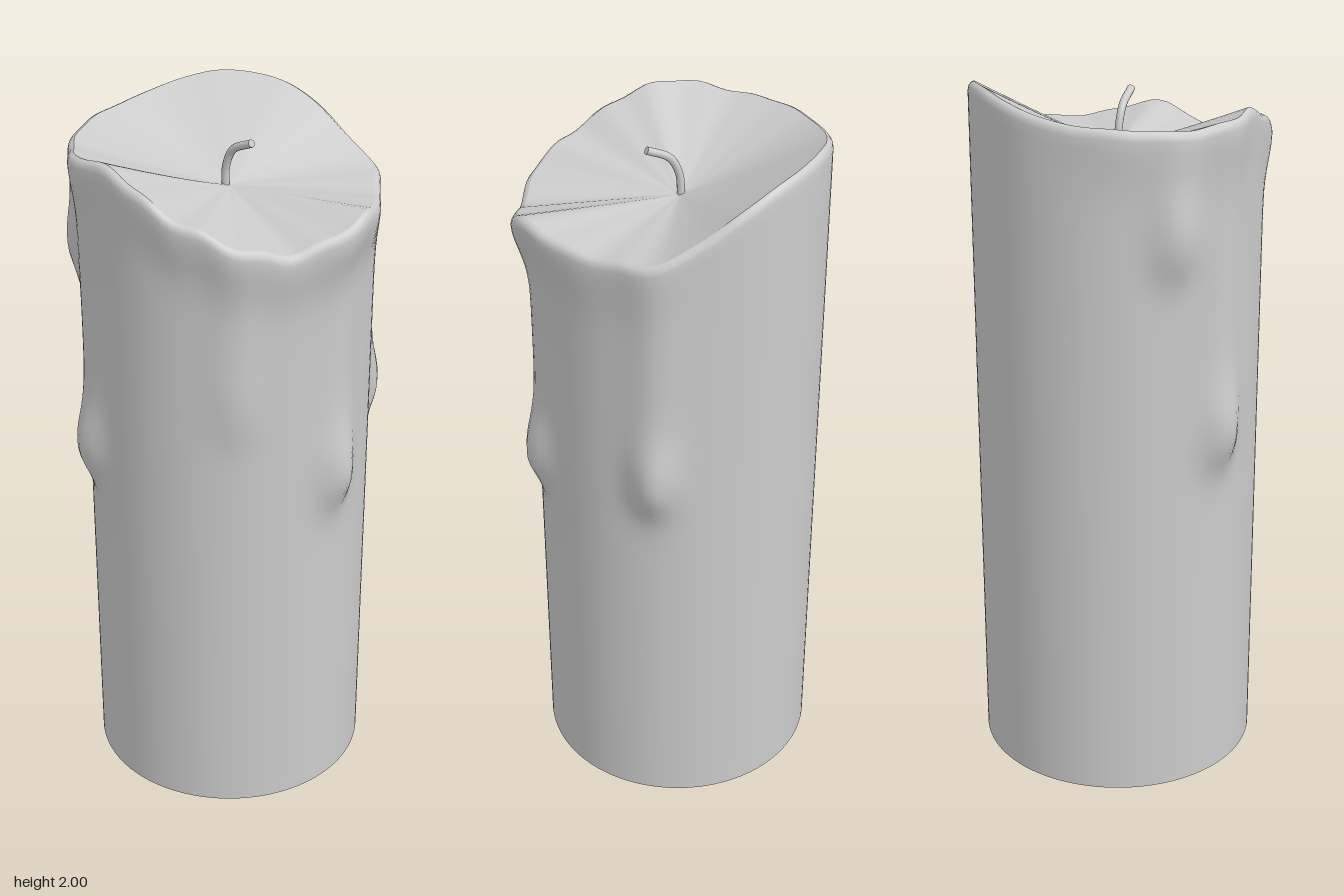
import * as THREE from 'three';

const SEG = 120, R = 0.402, CZ = -0.025, RAD = Math.PI / 180;
const mat = new THREE.MeshStandardMaterial({ color: 0xcccccc });

// Rim height every 15 degrees, starting at the front and turning towards +x
const RIM = [1.83, 1.82, 1.80, 1.805, 1.82, 1.87, 1.93, 1.975, 1.995, 2.0, 1.985, 1.965,
  1.95, 1.945, 1.94, 1.935, 1.945, 1.955, 1.93, 1.88, 1.84, 1.80, 1.77, 1.785];

// Wax drips: angle, height of the bead, bead size, thickness of the run above it
const DRIPS = [
  { a: -3, y: 1.06, bead: 0.052, run: 0.016 },
  { a: 58, y: 1.13, bead: 0.05, run: 0.02 },
  { a: -118, y: 1.07, bead: 0.048, run: 0.022 },
  { a: -139, y: 1.63, bead: 0.036, run: 0.016 },
  { a: -47, y: 1.3, bead: 0.006, run: 0.014 },
];

// Swollen places along the lip: angle, size, spread in degrees
const LIPS = [[2, 0.045, 17], [-38, 0.024, 16], [-68, 0.018, 14], [-118, 0.02, 14], [-158, 0.014, 12], [58, 0.012, 14]];

const gauss = (d, s) => Math.exp(-(d * d) / (2 * s * s));
const angDiff = (a, b) => ((a - b + 540) % 360 + 360) % 360 - 180;

function rimHeight(a) {
  const f = a / 15, i = Math.floor(f), t = f - i;
  const p = (k) => RIM[(i + k + 24) % 24];
  const m0 = (p(1) - p(-1)) / 2, m1 = (p(2) - p(0)) / 2;
  const h = (2 * t ** 3 - 3 * t * t + 1) * p(0) + (t ** 3 - 2 * t * t + t) * m0
    + (3 * t * t - 2 * t ** 3) * p(1) + (t ** 3 - t * t) * m1;
  // small ripples on the melted half of the rim
  const melted = gauss(angDiff(a, -50), 55);
  return h + melted * 0.007 * Math.sin(a * RAD * 17);
}

function radius(a, y) {
  let r = R;
  for (const d of DRIPS) {
    const arc = angDiff(a, d.a) * RAD * R, dy = y - d.y;
    r += d.run * gauss(arc, 0.05) * THREE.MathUtils.smoothstep(y, d.y - 0.15, d.y + 0.1);
    r += d.bead * 0.8 * gauss(arc, 0.042) * gauss(dy, dy > 0 ? 0.1 : 0.07);
  }
  const below = rimHeight(a) - y;
  for (const [la, size, spread] of LIPS) {
    r += size * gauss(angDiff(a, la), spread) * gauss(Math.max(0, below - 0.02), 0.08);
  }
  return r;
}

// Skin a stack of closed rings; point(a, row) gives [radius, y]
function loft(name, rows, point) {
  const pos = [], index = [];
  for (let j = 0; j < rows; j++) {
    for (let i = 0; i < SEG; i++) {
      const a = (i / SEG) * 360, [r, y] = point(a, j);
      pos.push(r * Math.sin(a * RAD), y, CZ + r * Math.cos(a * RAD));
    }
  }
  for (let j = 0; j < rows - 1; j++) {
    for (let i = 0; i < SEG; i++) {
      const k = (i + 1) % SEG, a = j * SEG + i, b = j * SEG + k;
      index.push(a, b, b + SEG, a, b + SEG, a + SEG);
    }
  }
  const geo = new THREE.BufferGeometry();
  geo.setAttribute('position', new THREE.Float32BufferAttribute(pos, 3));
  geo.setIndex(index);
  geo.computeVertexNormals();
  const mesh = new THREE.Mesh(geo, mat);
  mesh.name = name;
  return mesh;
}

export function createModel() {
  const group = new THREE.Group();
  group.name = 'candle';

  // Side wall with drips, rounding over at the lip
  const WALL = 70, LIP = [[0.003, 0.012], [0.009, 0.004], [0.018, 0]];
  const edgeR = (a) => radius(a, rimHeight(a) - 0.025);
  group.add(loft('waxBody', WALL + 1 + LIP.length, (a, j) => {
    const h = rimHeight(a);
    if (j <= WALL) {
      const y = (h - 0.025) * (j / WALL);
      return [radius(a, y), y];
    }
    const [inset, drop] = LIP[j - WALL - 1];
    return [edgeR(a) - inset, h - drop];
  }));

  // Hollow melted top, sloping from the lip down to the wick
  const TOP = 16;
  group.add(loft('meltedTop', TOP + 1, (a, j) => {
    const s = 1 - j / TOP;
    return [(edgeR(a) - 0.018) * s, THREE.MathUtils.lerp(1.805, rimHeight(a), Math.pow(s, 1.12))];
  }));

  // Flat underside
  const base = new THREE.Mesh(new THREE.CircleGeometry(R, SEG), mat);
  base.name = 'base';
  base.rotation.x = Math.PI / 2;
  base.position.z = CZ;
  group.add(base);

  // Bent wick with a flat tip
  const curve = new THREE.CatmullRomCurve3([
    [-0.004, 1.79, -0.032], [-0.006, 1.86, -0.028], [-0.008, 1.912, -0.002], [-0.01, 1.945, 0.064],
  ].map((p) => new THREE.Vector3(...p)));
  const wick = new THREE.Mesh(new THREE.TubeGeometry(curve, 20, 0.011, 12), mat);
  wick.name = 'wick';
  const tip = new THREE.Mesh(new THREE.CircleGeometry(0.011, 12), mat);
  tip.name = 'wickTip';
  tip.position.copy(curve.getPoint(1));
  tip.lookAt(curve.getPoint(1).add(curve.getTangent(1)));
  group.add(wick, tip);

  return group;
}
